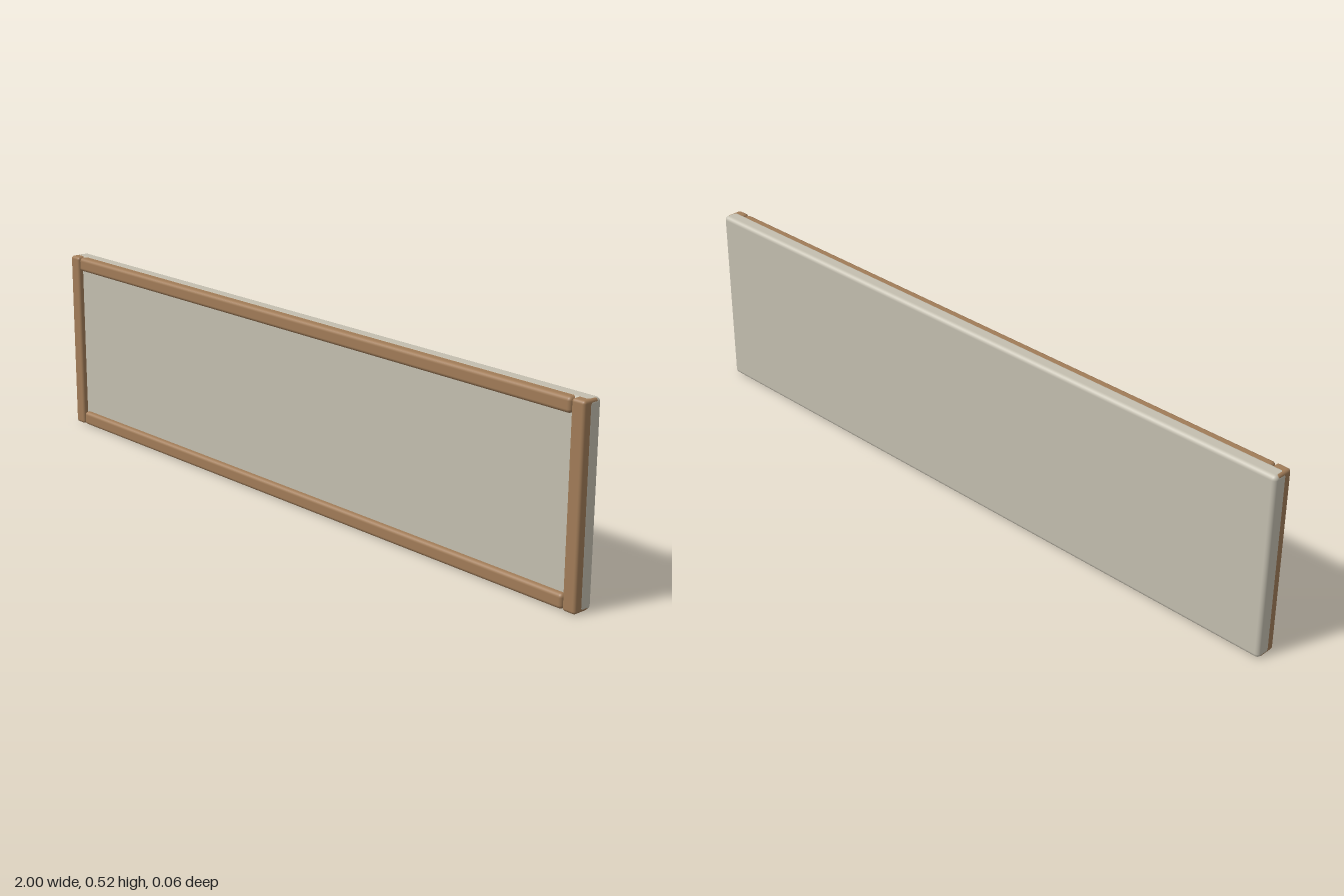
import * as THREE from 'three';
import { RoundedBoxGeometry } from 'three/addons/geometries/RoundedBoxGeometry.js';

const W = 2, H = 0.524;

export function createModel() {
  const group = new THREE.Group();
  const wood = new THREE.MeshStandardMaterial({ color: 0xa17c58 });
  wood.name = 'wood';
  const board = new THREE.MeshStandardMaterial({ color: 0xc4bfb0 });
  board.name = 'boardGrey';

  const block = (name, size, pos, radius, material) => {
    const mesh = new THREE.Mesh(new RoundedBoxGeometry(...size, 3, radius), material);
    mesh.name = name;
    mesh.position.set(...pos);
    group.add(mesh);
  };

  // Backing board with softened edges
  block('panel', [W, H, 0.046], [0, H / 2, -0.0075], 0.012, board);

  // Frame, set a hair inside the board outline
  const bar = 0.04, depth = 0.052, z = 0.0045, inset = 0.0006;
  for (const s of [-1, 1]) {
    block(s > 0 ? 'leftPost' : 'rightPost', [bar, H - 2 * inset, depth],
      [s * (W / 2 - bar / 2 - inset), H / 2, z], 0.008, wood);
    block(s > 0 ? 'topRail' : 'bottomRail', [W - 2 * bar - 0.004, bar, depth],
      [0, H / 2 + s * (H / 2 - bar / 2 - inset), z], 0.01, wood);
  }
  return group;
}
